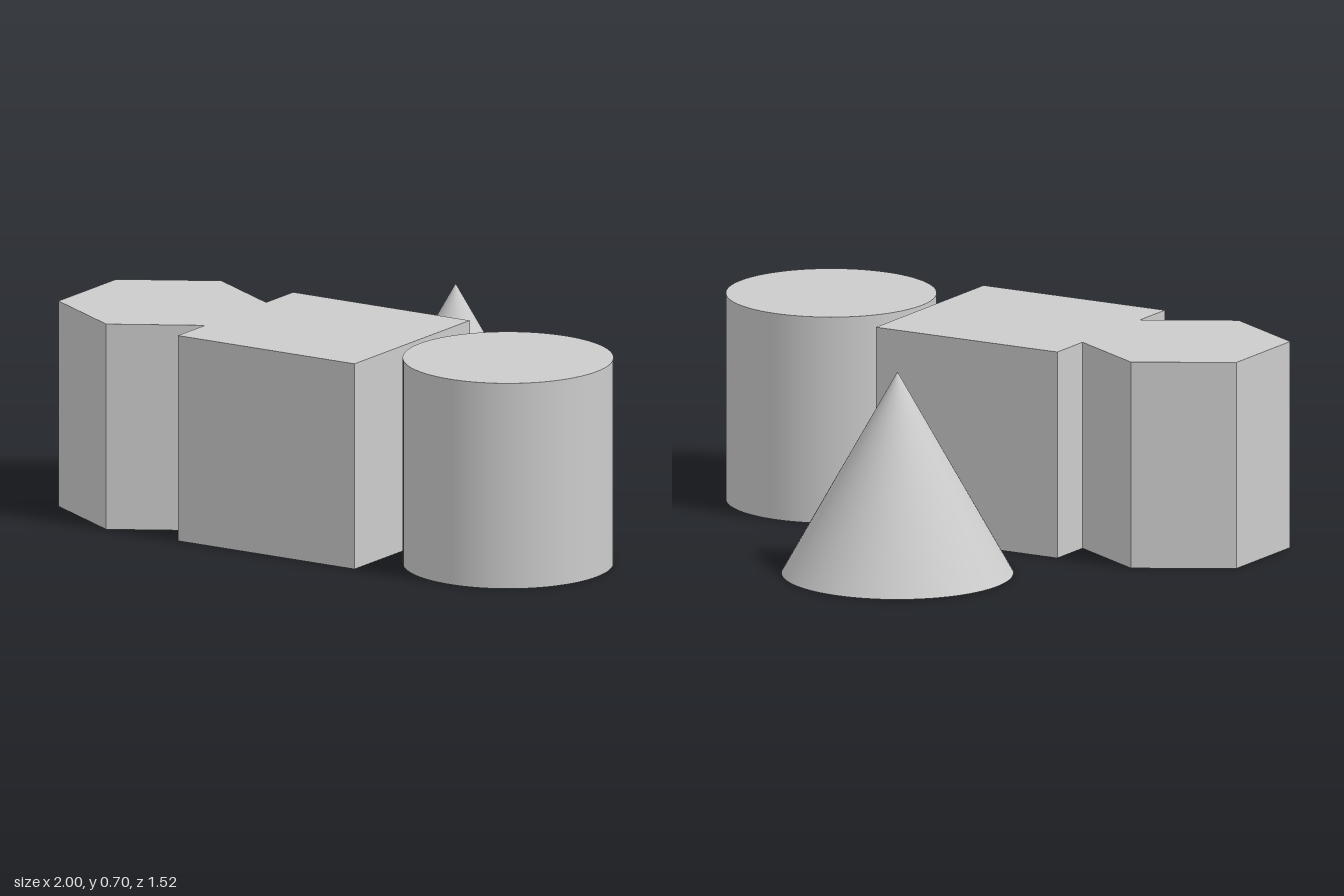
import * as THREE from 'three';

export function createModel() {
  const group = new THREE.Group();
  group.name = 'primitiveSolids';
  const grey = new THREE.MeshStandardMaterial({ color: 0xcccccc });
  grey.name = 'plain grey';

  const height = 0.697; // shared height of the front row
  const radius = 0.347;
  const rowZ = 0.415;

  // Adds a solid standing on the ground
  function addSolid(name, geometry, x, z, h) {
    const mesh = new THREE.Mesh(geometry, grey);
    mesh.name = name;
    mesh.position.set(x, h / 2, z);
    group.add(mesh);
  }

  // Hexagonal prism, points towards front and back
  const prism = new THREE.CylinderGeometry(radius, radius, height, 6).toNonIndexed();
  prism.computeVertexNormals();
  addSolid('hexagonalPrism', prism, -0.7, rowZ, height);

  // Cube, overlapping the prism slightly
  addSolid('cube', new THREE.BoxGeometry(radius * 2, height, radius * 2), -0.071, rowZ, height);

  // Round cylinder
  addSolid('cylinder', new THREE.CylinderGeometry(radius, radius, height, 96), 0.653, rowZ, height);

  // Cone behind the row
  addSolid('cone', new THREE.ConeGeometry(0.382, 0.68, 96), -0.072, -0.38, 0.68);

  return group;
}
